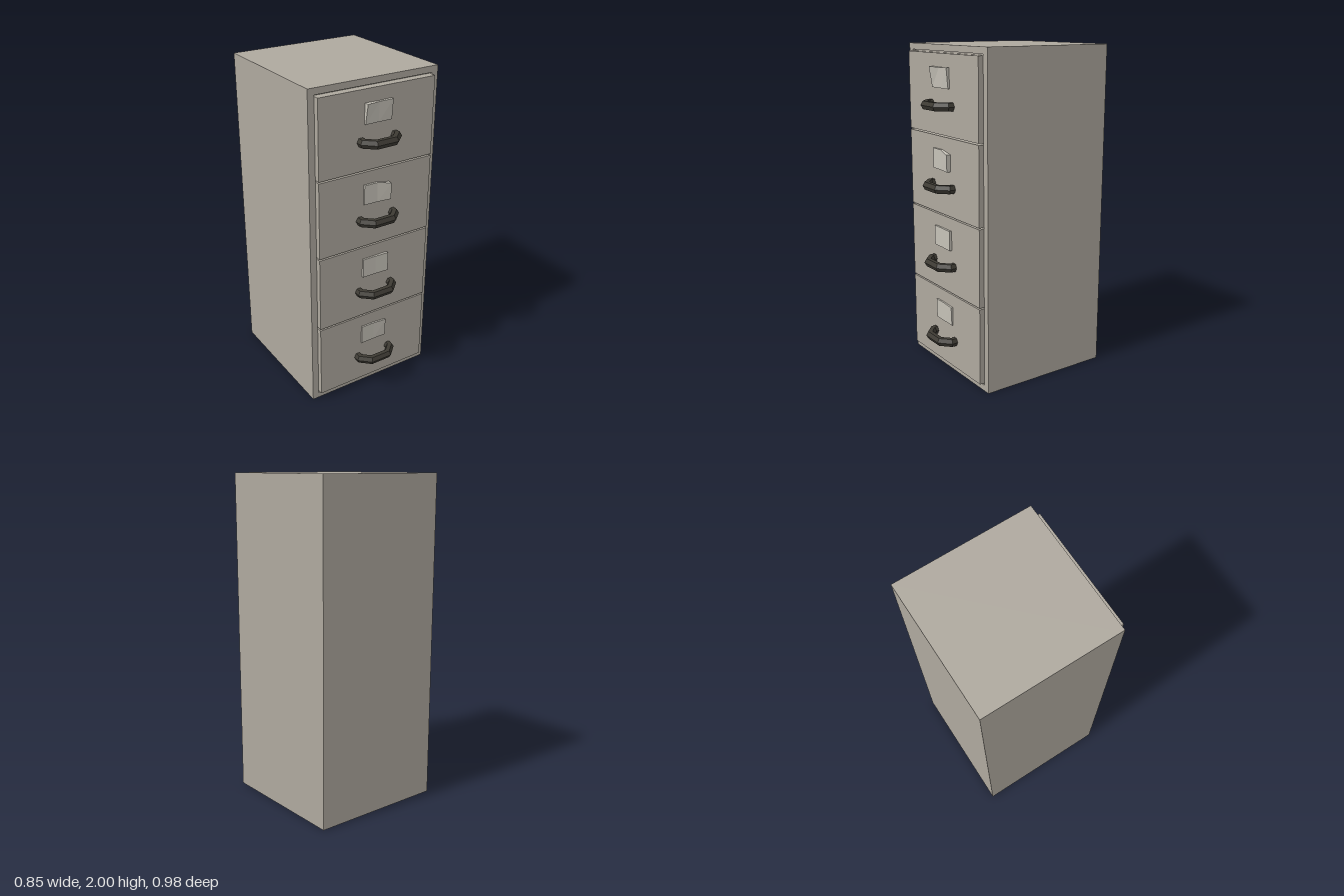
import * as THREE from 'three';

const paint = new THREE.MeshStandardMaterial({ color: 0xaea89e });
const dark = new THREE.MeshStandardMaterial({ color: 0x3d3a33, flatShading: true });
const card = new THREE.MeshStandardMaterial({ color: 0xc6c2b8, flatShading: true });

function add(parent, name, geometry, material, x = 0, y = 0, z = 0) {
  const mesh = new THREE.Mesh(geometry, material);
  mesh.name = name;
  mesh.position.set(x, y, z);
  parent.add(mesh);
  return mesh;
}

// Rectangle outline for the front frame and its opening
function rect(path, x, y0, y1) {
  path.moveTo(-x, y0);
  path.lineTo(x, y0);
  path.lineTo(x, y1);
  path.lineTo(-x, y1);
  path.closePath();
  return path;
}

// Six-sided bar swept with mitred corners along a half-octagon
function handleGeometry() {
  const path = [[-0.113, 0], [-0.113, 0.027], [-0.06, 0.077], [0.06, 0.077], [0.113, 0.027], [0.113, 0]]
    .map(([x, z]) => new THREE.Vector2(x, z));
  const sides = 6, position = [], index = [];
  path.forEach((p, i) => {
    const before = p.clone().sub(path[Math.max(i - 1, 0)]).normalize();
    const after = path[Math.min(i + 1, path.length - 1)].clone().sub(p).normalize();
    const t = before.clone().add(after).normalize();
    const normal = new THREE.Vector2(-t.y, t.x);
    const leg = before.lengthSq() ? before : after;
    const mitre = 1 / leg.dot(t);
    for (let k = 0; k < sides; k++) {
      const a = (k / sides) * Math.PI * 2;
      const r = 0.025 * Math.cos(a) * mitre;
      position.push(p.x + normal.x * r, 0.024 * Math.sin(a) / Math.sin(Math.PI / 3), p.y + normal.y * r);
    }
  });
  for (let i = 0; i < path.length - 1; i++) {
    for (let k = 0; k < sides; k++) {
      const a = i * sides + k, b = i * sides + (k + 1) % sides;
      index.push(a, a + sides, b, b, a + sides, b + sides);
    }
  }
  const geometry = new THREE.BufferGeometry();
  geometry.setAttribute('position', new THREE.Float32BufferAttribute(position, 3));
  geometry.setIndex(index);
  geometry.computeVertexNormals();
  return geometry;
}

// Label card, its front bent by depths at left, middle and right
function labelGeometry({ top, bottom, drop }) {
  const geometry = new THREE.BoxGeometry(0.175, 0.12, 0.01, 2, 1, 1);
  const pos = geometry.attributes.position;
  for (let i = 0; i < pos.count; i++) {
    const column = Math.round(pos.getX(i) / 0.0875) + 1;
    const upper = pos.getY(i) > 0;
    pos.setZ(i, pos.getZ(i) > 0 ? (upper ? top : bottom)[column] : 0);
    if (upper) pos.setY(i, 0.06 - drop[column]);
  }
  geometry.computeVertexNormals();
  return geometry;
}

export function createModel() {
  const cabinet = new THREE.Group();
  cabinet.name = 'filingCabinet';

  // Case with a shallow recess in the front
  const recess = 0.02;
  add(cabinet, 'case', new THREE.BoxGeometry(0.85, 2, 0.85 - recess), paint, 0, 1, -0.065 - recess / 2);
  const frame = rect(new THREE.Shape(), 0.425, 0, 2);
  frame.holes.push(rect(new THREE.Path(), 0.385, 0.036, 1.962));
  add(cabinet, 'frontFrame', new THREE.ExtrudeGeometry(frame, { depth: recess, bevelEnabled: false }), paint, 0, 0, 0.36 - recess);

  // Label bends, from the bottom drawer to the top one
  const bends = [
    { top: [0.01, 0.01, 0.012], bottom: [0.008, 0.008, 0.008], drop: [0, 0, 0.005] },
    { top: [0.012, 0.012, 0.016], bottom: [0.012, 0.012, 0.016], drop: [0, 0, 0] },
    { top: [0.012, 0.014, 0.028], bottom: [0.012, 0.014, 0.026], drop: [0, 0, 0.018] },
    { top: [0.031, 0.015, 0.02], bottom: [0.01, 0.008, 0.01], drop: [0, 0.002, 0] },
  ];
  const handle = handleGeometry();
  bends.forEach((bend, i) => {
    const drawer = new THREE.Group();
    drawer.name = `drawer${i + 1}`;
    drawer.position.y = 0.05 + i * 0.478;
    cabinet.add(drawer);
    add(drawer, 'drawerFront', new THREE.BoxGeometry(0.765, 0.469, 0.05), paint, 0, 0.2345, 0.365);
    add(drawer, 'handle', handle, dark, 0, 0.175, 0.39);
    add(drawer, 'label', labelGeometry(bend), card, -0.002, 0.332, 0.39);
  });
  return cabinet;
}
